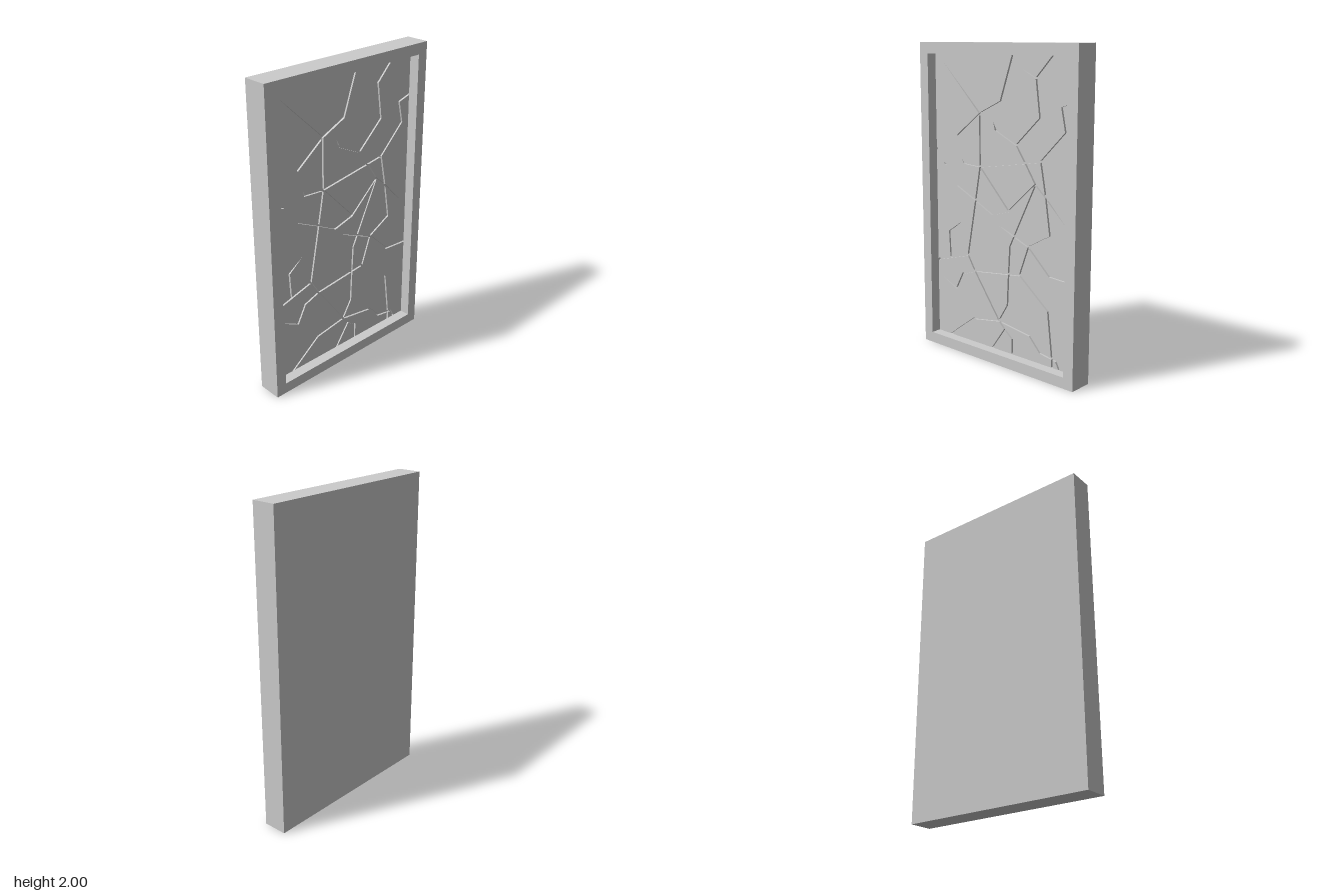
import * as THREE from 'three';

const W = 1.26, H = 2, T = 0.155;        // slab width, height, thickness
const FLOOR = 0.01, GROOVE = 0.014;      // recessed face position, crack depth
const HALF = 0.006;                      // half the width of a crack
const BZ = 0.566, B0 = 0.064, B1 = 1.936; // limits of the cracked face, just under the frame

// Crack joints as [z, y]
const joints = [
  [-0.10, B1], [0, 1.65], [0.17, 1.57], [0.49, 1.88], [0.17, 1.24], [0.39, 1.40], [0.51, 1.46],
  [0.32, 1.25], [0.36, 1.21], [BZ, 1.24], [BZ, 1.33], [0.38, 1.10], [0.07, 0.95], [-0.07, 0.99],
  [-0.28, 1.18], [-0.13, 1.40], [0.04, 1.48], [0.06, 1.53], [-0.31, 1.57], [-0.28, 1.80],
  [-0.17, 1.85], [-0.41, B1], [-0.51, 0.96], [-0.32, 1.32], [-0.20, 1.30], [-0.50, 1.50],
  [-0.47, 1.64], [-BZ, 1.67], [-0.395, 0.88], [-0.36, 1.11], [-0.23, 0.79], [0.02, 0.89],
  [-0.08, 0.765], [-0.115, 0.837], [-0.39, 0.64], [-BZ, 0.63], [-0.16, 0.60], [-0.385, 0.42],
  [-0.42, B0], [0.28, 0.65], [0.22, 0.555], [BZ, 0.57], [0.44, 0.605], [0.45, 0.78], [0.34, 0.86],
  [0.33, 0.515], [0.39, 0.40], [0.52, 0.46], [-0.07, 0.59], [-0.06, 0.38], [0.01, 0.266],
  [0.23, 0.23], [0.45, B0], [-0.24, 0.23], [-0.325, 0.14], [-0.45, 0.12], [-0.42, 0.125],
  [-0.10, 0.17], [-0.10, B0], [-0.04, 0.22], [0.07, B0], [0.21, 1.02], [-0.48, B0],
];

// Cracks as runs of joints
const cracks = [
  [0, 1, 2, 4, 61, 39, 40, 50], [3, 2, 5], [6, 5, 7, 4], [7, 8, 9], [10, 11, 61, 12, 13, 4],
  [4, 24, 23, 25, 26, 27], [21, 19, 18, 15, 24, 14, 29, 22], [19, 20], [15, 16, 17],
  [23, 29, 28, 30, 36, 37, 56, 38], [13, 14, 33, 32, 48, 49, 50], [31, 33, 30, 34, 35],
  [36, 48, 40, 45, 46, 47], [41, 42, 39], [42, 43, 44], [50, 51, 52],
  [50, 53, 54, 56, 55, 62], [50, 59, 57, 58], [59, 60],
];

// Outlines of the pieces left between the cracks
function pieceOutlines() {
  const pts = joints.map(([z, y]) => new THREE.Vector2(-z, y));
  for (const s of [-BZ, BZ]) for (const y of [B0, B1]) pts.push(new THREE.Vector2(s, y));

  // The rim closes the crack network into a loop
  const angle = (p) => Math.atan2(p.y - 1, p.x);
  const rim = pts.map((p, i) => i)
    .filter((i) => Math.abs(pts[i].x) === BZ || pts[i].y === B0 || pts[i].y === B1)
    .sort((a, b) => angle(pts[a]) - angle(pts[b]));

  const near = pts.map(() => []);
  for (const run of [...cracks, [...rim, rim[0]]]) {
    for (let i = 1; i < run.length; i++) {
      near[run[i - 1]].push(run[i]);
      near[run[i]].push(run[i - 1]);
    }
  }
  const heading = (a, b) => Math.atan2(pts[b].y - pts[a].y, pts[b].x - pts[a].x);
  near.forEach((list, a) => list.sort((b, c) => heading(a, b) - heading(a, c)));

  const normal = (a, b) => {
    const d = pts[b].clone().sub(pts[a]).normalize();
    return new THREE.Vector2(-d.y, d.x);
  };

  // Walk each face of the network, keeping half a crack away from its edges
  const used = new Set(), outlines = [];
  near.forEach((list, start) => list.forEach((first) => {
    let a = start, b = first;
    const outline = [];
    while (!used.has(a + '>' + b)) {
      used.add(a + '>' + b);
      const turn = near[b];
      const c = turn[(turn.indexOf(a) - 1 + turn.length) % turn.length];
      if (c === a) {
        outline.push(pts[b].clone());   // dead end tapers to a point
      } else {
        const n1 = normal(a, b), n2 = normal(b, c);
        const k = HALF / Math.max(0.15, 1 + n1.dot(n2));
        outline.push(n1.add(n2).multiplyScalar(k).add(pts[b]));
      }
      a = b;
      b = c;
    }
    if (outline.length > 2 && THREE.ShapeUtils.area(outline) > 0) outlines.push(outline);
  }));
  return outlines;
}

function rectangle(PathType, x0, y0, x1, y1) {
  return new PathType([[x0, y0], [x1, y0], [x1, y1], [x0, y1]].map((p) => new THREE.Vector2(...p)));
}

export function createModel() {
  const group = new THREE.Group();
  const material = new THREE.MeshStandardMaterial({ color: 0xcccccc, flatShading: true });

  // Extrudes an outline from one depth to another and turns it to face +x
  function addPlate(parent, name, shape, from, to) {
    const geometry = new THREE.ExtrudeGeometry(shape, { depth: to - from, bevelEnabled: false });
    geometry.translate(0, 0, from).rotateY(Math.PI / 2);
    const mesh = new THREE.Mesh(geometry, material);
    mesh.name = name;
    parent.add(mesh);
  }

  // Frame around the recess, through the full thickness
  const frame = rectangle(THREE.Shape, -W / 2, 0, W / 2, H);
  frame.holes.push(rectangle(THREE.Path, -0.56, 0.07, 0.56, 1.93));
  addPlate(group, 'frame', frame, -T / 2, T / 2);

  // Backing, which is also the bottom of the cracks
  addPlate(group, 'backing', rectangle(THREE.Shape, -0.56, 0.07, 0.56, 1.93), -T / 2, FLOOR - GROOVE);

  // Cracked face
  const face = new THREE.Group();
  face.name = 'crackedFace';
  pieceOutlines().forEach((outline, i) => {
    addPlate(face, 'piece' + (i + 1), new THREE.Shape(outline), FLOOR - GROOVE, FLOOR);
  });
  group.add(face);
  return group;
}
